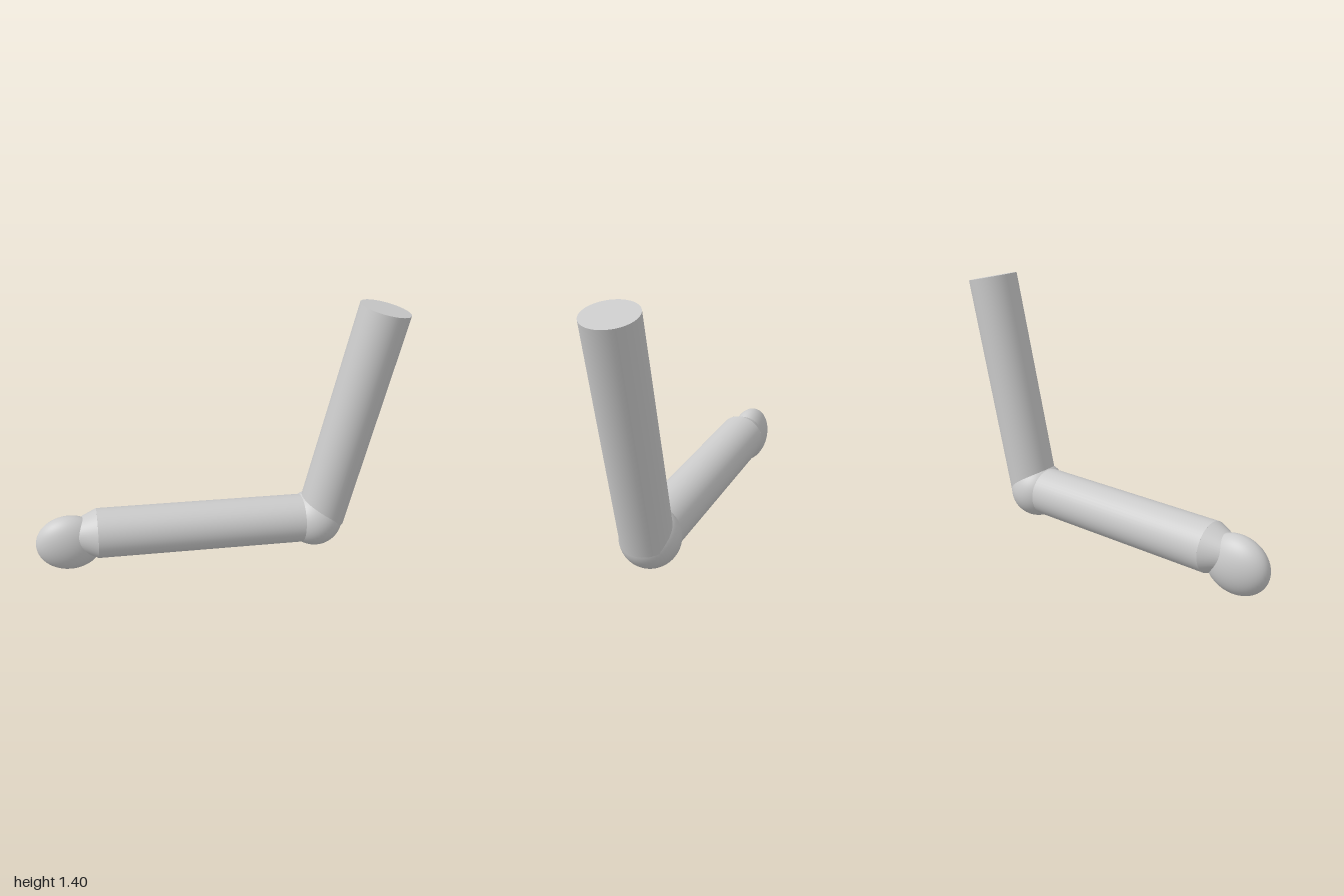
import * as THREE from 'three';

const UP = new THREE.Vector3(0, 1, 0);

export function createModel() {
  const model = new THREE.Group();
  model.name = 'bentArm';
  const material = new THREE.MeshStandardMaterial({ color: 0xcccccc });

  const add = (name, geometry, position) => {
    const mesh = new THREE.Mesh(geometry, material);
    mesh.name = name;
    mesh.position.copy(position);
    model.add(mesh);
    return mesh;
  };

  // Capped limb running from one point to another, tapering if the radii differ
  const addLimb = (name, from, to, radiusFrom, radiusTo) => {
    const axis = to.clone().sub(from);
    const geometry = new THREE.CylinderGeometry(radiusTo, radiusFrom, axis.length(), 48);
    const limb = add(name, geometry, from.clone().lerp(to, 0.5));
    limb.quaternion.setFromUnitVectors(UP, axis.normalize());
  };

  const radius = 0.135;
  const shoulder = new THREE.Vector3(0.864, 1.372, 0);
  const upperArmEnd = new THREE.Vector3(0.586, 0.166, 0);
  const elbow = new THREE.Vector3(0.55, 0.158, 0);
  const wrist = new THREE.Vector3(-0.67, 0.203, 0);
  const wristTip = new THREE.Vector3(-0.82, 0.208, 0);

  // Limbs
  addLimb('upperArm', upperArmEnd, shoulder, radius, radius);
  addLimb('forearm', elbow, wrist, radius, radius);
  addLimb('wristTaper', wrist, wristTip, radius, 0.065);

  // Ball joint at the elbow
  add('elbow', new THREE.SphereGeometry(0.158, 48, 32), elbow);

  // Flattened egg-shaped hand
  const hand = add('hand', new THREE.SphereGeometry(1, 48, 32), new THREE.Vector3(-0.82, 0.162, 0));
  hand.scale.set(0.18, 0.159, 0.1);

  return model;
}
